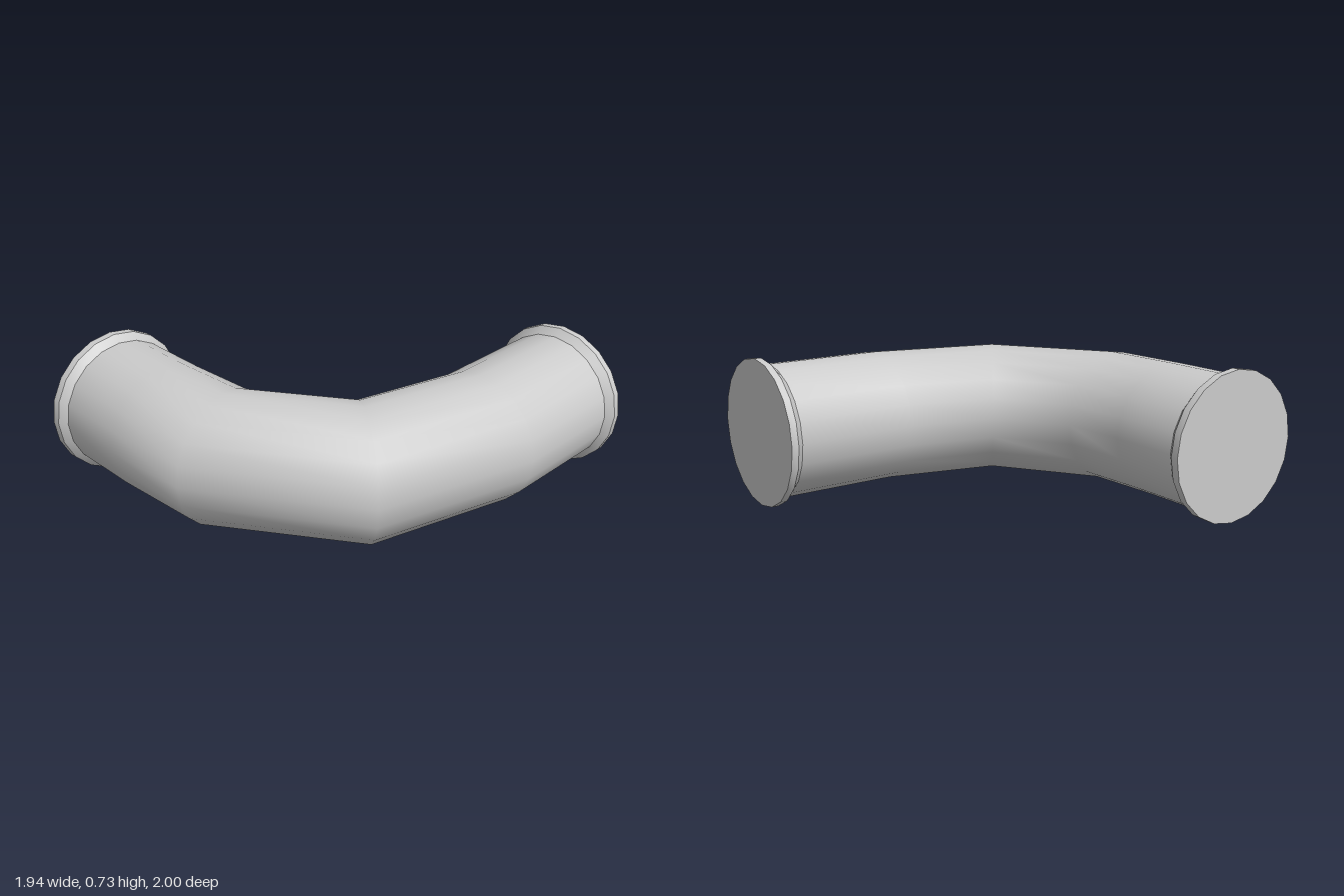
import * as THREE from 'three';
import { toCreasedNormals } from 'three/addons/utils/BufferGeometryUtils.js';

const SIDES = 20;
const CENTRE_Y = 0.365;

// Each ring is [inner x, inner z, outer x, outer z, vertical radius].
// Rings run in order along the bend; the tube is skinned between them.
function loft(rings, capStart = false, capEnd = false) {
  const positions = [];
  const index = [];
  const centre = ([ix, iz, ox, oz]) => [(ix + ox) / 2, CENTRE_Y, (iz + oz) / 2];
  for (const ring of rings) {
    const [ix, iz, ox, oz, ry] = ring;
    const [cx, cy, cz] = centre(ring);
    for (let j = 0; j < SIDES; j++) {
      const a = (j / SIDES) * Math.PI * 2;
      const c = Math.cos(a) / 2;
      positions.push(cx + (ox - ix) * c, cy + ry * Math.sin(a), cz + (oz - iz) * c);
    }
  }
  for (let i = 0; i < rings.length - 1; i++) {
    for (let j = 0; j < SIDES; j++) {
      const k = (j + 1) % SIDES;
      const a = i * SIDES + j, b = a + SIDES;
      const c = i * SIDES + k, d = c + SIDES;
      index.push(a, b, c, c, b, d);
    }
  }
  // Flat end discs
  const addCap = (i, atStart) => {
    const hub = positions.length / 3;
    positions.push(...centre(rings[i]));
    for (let j = 0; j < SIDES; j++) {
      const a = i * SIDES + j, b = i * SIDES + (j + 1) % SIDES;
      if (atStart) index.push(hub, a, b);
      else index.push(hub, b, a);
    }
  };
  if (capStart) addCap(0, true);
  if (capEnd) addCap(rings.length - 1, false);

  const geometry = new THREE.BufferGeometry();
  geometry.setAttribute('position', new THREE.Float32BufferAttribute(positions, 3));
  geometry.setIndex(index);
  geometry.computeVertexNormals();
  return geometry;
}

export function createModel() {
  const model = new THREE.Group();
  model.name = 'pipeElbow';
  const material = new THREE.MeshStandardMaterial({ color: 0xcccccc });
  const add = (name, geometry) => {
    const mesh = new THREE.Mesh(geometry, material);
    mesh.name = name;
    model.add(mesh);
  };

  // Curved pipe, mitred at each bend
  const pipe = [
    [-0.873, 0.305, -0.894, 0.967, 0.33],
    [-0.51, 0.317, -0.52, 0.977, 0.33],
    [-0.17, 0.312, -0.05, 0.962, 0.33],
    [0.175, 0.09, 0.71, 0.475, 0.33],
    [0.28, -0.33, 0.937, -0.33, 0.33],
    [0.28, -0.928, 0.937, -0.928, 0.33],
  ];
  add('pipe', loft(pipe));

  // Collar on the side opening: disc, rim, then chamfer down to the pipe
  add('sideCollar', toCreasedNormals(loft([
    [-0.948, 0.272, -0.97, 1, 0.365],
    [-0.908, 0.274, -0.93, 0.998, 0.365],
    pipe[0],
  ], true, false), 0.5));

  // Collar on the back opening
  add('backCollar', toCreasedNormals(loft([
    pipe[pipe.length - 1],
    [0.245, -0.965, 0.97, -0.965, 0.365],
    [0.245, -1, 0.97, -1, 0.365],
  ], false, true), 0.5));

  return model;
}
